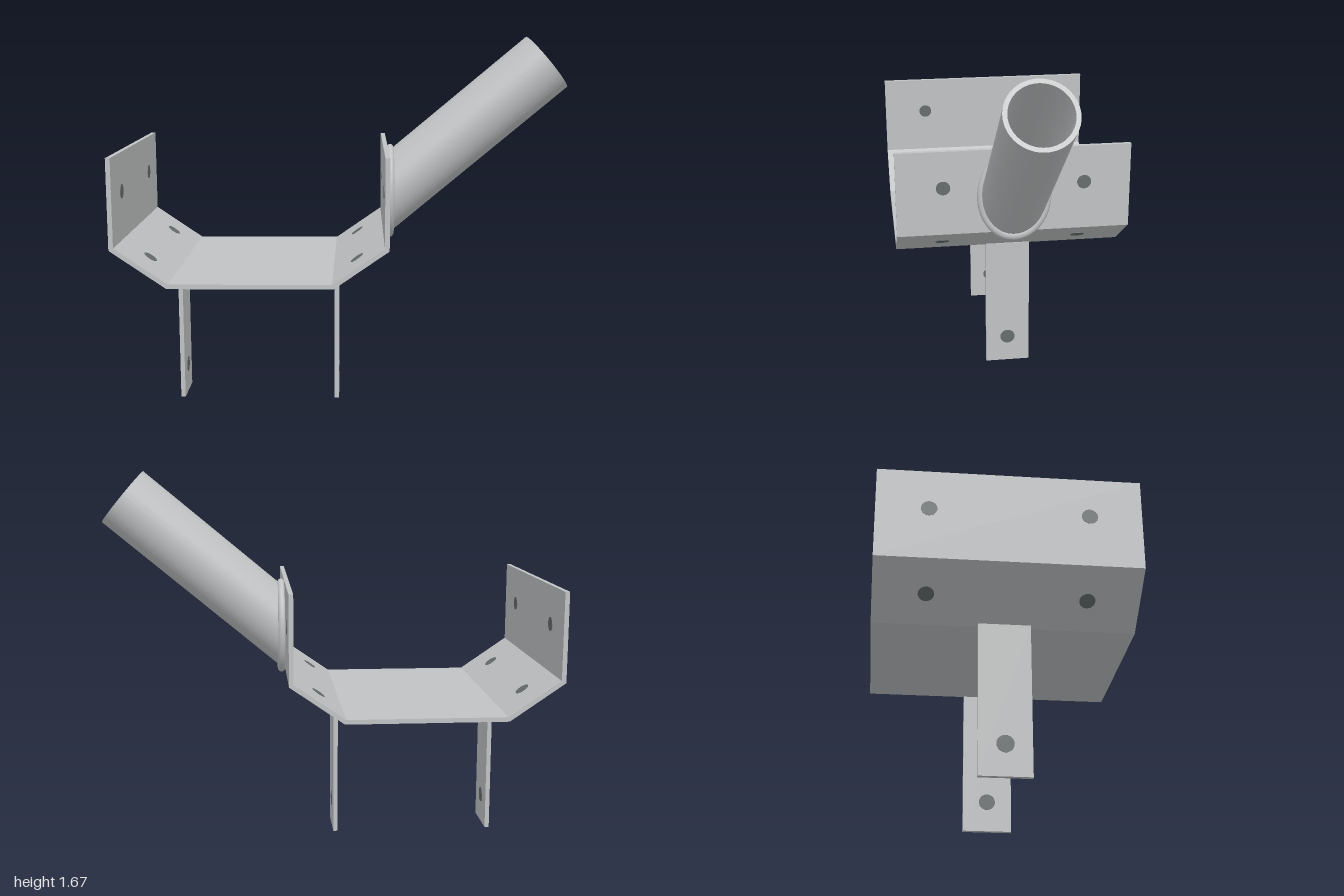
import * as THREE from 'three';
import { toCreasedNormals } from 'three/addons/utils/BufferGeometryUtils.js';

export function createModel() {
  const group = new THREE.Group();
  const steel = new THREE.MeshStandardMaterial({ color: 0xc0c2c3 });
  steel.name = 'steel grey';
  const dark = new THREE.MeshStandardMaterial({ color: 0x666c6d });
  dark.name = 'hole dark grey';

  function add(name, geometry, material, x = 0, y = 0, z = 0) {
    const mesh = new THREE.Mesh(geometry, material);
    mesh.name = name;
    mesh.position.set(x, y, z);
    group.add(mesh);
    return mesh;
  }

  // Bolt hole: a thin disc showing on both faces of a 0.02 plate;
  // angle is the direction of the plate's normal in the xy plane
  function hole(name, x, y, z, angle, radius) {
    for (const side of [-1, 1]) {
      const d = side * 0.0095;
      const disc = add(name, new THREE.CylinderGeometry(radius, radius, 0.004, 24), dark,
        x + Math.cos(angle) * d, y + Math.sin(angle) * d, z);
      disc.rotation.z = angle - Math.PI / 2;
    }
  }

  // Folded saddle plate, extruded along z
  const halfDepth = 0.527;
  const profile = [
    [-1, 1.183], [-1, 0.79], [-0.76, 0.625], [-0.052, 0.625], [0.185, 0.79], [0.185, 1.183],
    [0.165, 1.183], [0.165, 0.8], [-0.058, 0.645], [-0.754, 0.645], [-0.98, 0.8], [-0.98, 1.183],
  ].map(([x, y]) => new THREE.Vector2(x, y));
  const saddle = new THREE.ExtrudeGeometry(new THREE.Shape(profile), {
    depth: 2 * halfDepth, bevelEnabled: false,
  });
  add('saddlePlate', saddle, steel, 0, 0, -halfDepth);

  // Holes in the upright and sloping panels
  const slope = Math.atan2(0.16, 0.232);
  for (const z of [-0.317, 0.317]) {
    hole('uprightHole', -0.99, 1.012, z, 0, 0.032);
    hole('uprightHole', 0.175, 1.012, z, 0, 0.032);
    hole('slopeHole', -0.868, 0.711, z, Math.PI / 2 - slope, 0.032);
    hole('slopeHole', 0.053, 0.71, z, Math.PI / 2 + slope, 0.032);
  }

  // Strap legs under the two fold lines
  for (const x of [-0.769, -0.047]) {
    add('leg', new THREE.BoxGeometry(0.02, 0.632, 0.21), steel, x, 0.316, 0);
    hole('legHole', x, 0.13, 0, 0, 0.035);
  }

  // Hollow pipe at 40 degrees, its base mitred to the upright plate
  const tilt = THREE.MathUtils.degToRad(40);
  const ring = new THREE.Shape().absarc(0, 0, 0.147, 0, Math.PI * 2);
  ring.holes.push(new THREE.Path().absarc(0, 0, 0.128, 0, Math.PI * 2, true));
  let pipe = new THREE.ExtrudeGeometry(ring, { depth: 0.946, bevelEnabled: false, curveSegments: 48 });
  pipe.rotateY(Math.PI / 2);
  const p = pipe.attributes.position;
  for (let i = 0; i < p.count; i++) {
    if (p.getX(i) < 0.1) p.setX(i, p.getY(i) * Math.tan(tilt));
  }
  pipe.rotateZ(tilt);
  pipe = toCreasedNormals(pipe, 0.5);
  add('pipe', pipe, steel, 0.18, 0.952, 0);

  // Oval weld bead around the pipe base
  const bead = new THREE.TorusGeometry(0.15, 0.018, 16, 64);
  bead.rotateY(Math.PI / 2);
  bead.scale(1, 1.29, 1);
  add('weldBead', bead, steel, 0.198, 0.968, 0);

  return group;
}
